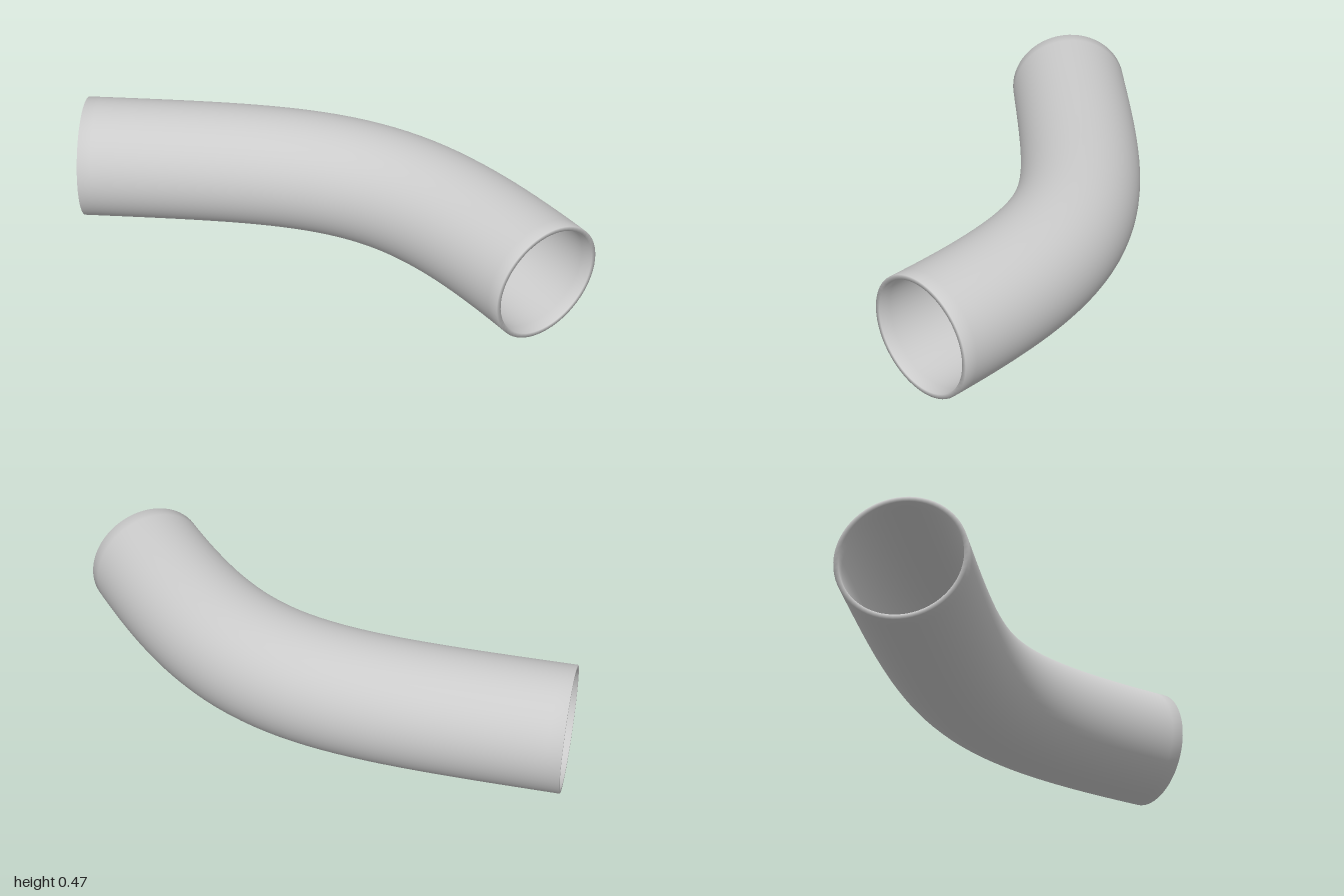
import * as THREE from 'three';

const OUTER = 0.237, INNER = 0.219; // pipe radii
const STEPS = 40, SIDES = 64;

// Closed tube wall: rings run along the outside, then back along the inside.
function pipeWall(path) {
  const up = new THREE.Vector3(0, 1, 0);
  const rings = [];
  for (let i = 0; i <= STEPS; i++) rings.push([i / STEPS, OUTER]);
  for (let i = STEPS; i >= 0; i--) rings.push([i / STEPS, INNER]);

  const positions = [], indices = [];
  rings.forEach(([t, radius], i) => {
    const centre = path.getPointAt(t);
    const side = path.getTangentAt(t).cross(up).normalize();
    const next = (i + 1) % rings.length;
    for (let j = 0; j < SIDES; j++) {
      const angle = (j / SIDES) * Math.PI * 2;
      const p = centre.clone()
        .addScaledVector(up, radius * Math.cos(angle))
        .addScaledVector(side, radius * Math.sin(angle));
      positions.push(p.x, p.y, p.z);
      const k = (j + 1) % SIDES;
      const a = i * SIDES + j, b = i * SIDES + k;
      const c = next * SIDES + j, d = next * SIDES + k;
      indices.push(a, b, c, b, d, c);
    }
  });

  const geometry = new THREE.BufferGeometry();
  geometry.setAttribute('position', new THREE.Float32BufferAttribute(positions, 3));
  geometry.setIndex(indices);
  geometry.computeVertexNormals(); // shared vertices keep the rims softly shaded
  return geometry;
}

export function createModel() {
  const group = new THREE.Group();
  group.name = 'bentPipe';

  // Centre line: straight at the left end, bending towards the front on the right
  const path = new THREE.CubicBezierCurve3(
    new THREE.Vector3(-1, OUTER, -0.3),
    new THREE.Vector3(0.01, OUTER, -0.3),
    new THREE.Vector3(0.248, OUTER, -0.3),
    new THREE.Vector3(0.818, OUTER, 0.385)
  );

  const pipe = new THREE.Mesh(
    pipeWall(path),
    new THREE.MeshStandardMaterial({ color: 0xcccccc })
  );
  pipe.name = 'pipe';
  group.add(pipe);
  return group;
}
